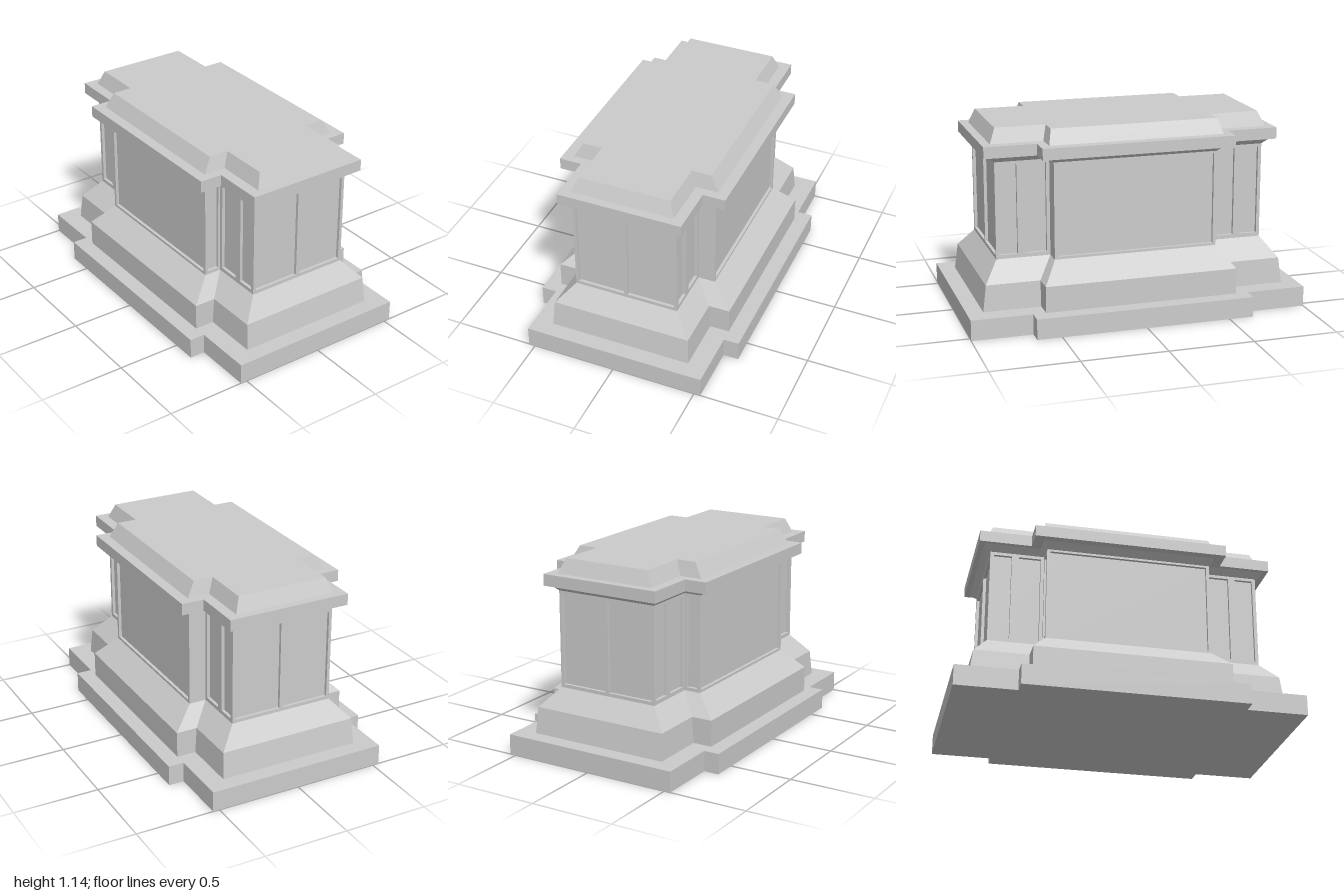
import * as THREE from 'three';

const material = new THREE.MeshStandardMaterial({ color: 0xcccccc, flatShading: true });

// Cross-shaped plan: side half-width sx, its half-length sz, end half-width ex, end reach ez
function outline([sx, sz, ex, ez]) {
  return [
    [-ex, ez], [ex, ez], [ex, sz], [sx, sz], [sx, -sz], [ex, -sz],
    [ex, -ez], [-ex, -ez], [-ex, -sz], [-sx, -sz], [-sx, sz], [-ex, sz],
  ];
}

// Closed solid through cross-shaped sections, each [y, plan]
function loft(name, levels) {
  const rings = levels.map(([y, plan]) => outline(plan).map(([x, z]) => [x, y, z]));
  const pos = [];
  const quad = (a, b, c, d) => pos.push(...a, ...b, ...c, ...a, ...c, ...d);
  for (let k = 0; k < rings.length - 1; k++) {
    const lo = rings[k], hi = rings[k + 1];
    for (let i = 0; i < 12; i++) {
      const j = (i + 1) % 12;
      quad(lo[i], lo[j], hi[j], hi[i]);
    }
  }
  const bottom = rings[0], top = rings[rings.length - 1];
  for (const [a, b, c, d] of [[0, 1, 6, 7], [2, 3, 4, 5], [8, 9, 10, 11]]) {
    quad(top[a], top[b], top[c], top[d]);
    quad(bottom[d], bottom[c], bottom[b], bottom[a]);
  }
  const geo = new THREE.BufferGeometry();
  geo.setAttribute('position', new THREE.Float32BufferAttribute(pos, 3));
  geo.computeVertexNormals();
  const mesh = new THREE.Mesh(geo, material);
  mesh.name = name;
  return mesh;
}

function rect(path, x0, x1, y0, y1) {
  path.moveTo(x0, y0);
  path.lineTo(x1, y0);
  path.lineTo(x1, y1);
  path.lineTo(x0, y1);
  path.closePath();
  return path;
}

// Wall slab from plan point a to b, with panel openings [start, end, bottom, top]
function wallFrame(name, a, b, y0, y1, depth, panels) {
  const u = new THREE.Vector3(b[0] - a[0], 0, b[1] - a[1]);
  const length = u.length();
  u.normalize();
  const up = new THREE.Vector3(0, 1, 0);
  const out = new THREE.Vector3().crossVectors(u, up);
  const shape = rect(new THREE.Shape(), 0, length, y0, y1);
  for (const p of panels) shape.holes.push(rect(new THREE.Path(), ...p));
  const geo = new THREE.ExtrudeGeometry(shape, { depth, bevelEnabled: false });
  geo.translate(0, 0, -depth);
  geo.applyMatrix4(new THREE.Matrix4().makeBasis(u, up, out).setPosition(a[0], 0, a[1]));
  const mesh = new THREE.Mesh(geo, material);
  mesh.name = name;
  return mesh;
}

// Panelled middle block: a recessed core wrapped in wall frames
function createDie(plan, y0, y1) {
  const die = new THREE.Group();
  die.name = 'panelledBody';
  const depth = 0.018;
  const core = plan.map((v) => v - depth);
  die.add(loft('recessedPanels', [[y0, core], [y1, core]]));

  const [sx, sz, ex, ez] = plan;
  const flank = ez - sz;
  const end = [[0.008, 0.3, 0.407, 0.932], [2 * ex - 0.3, 2 * ex - 0.008, 0.407, 0.932]];
  const side = [[0.018, 2 * sz - 0.018, 0.402, 0.94]];
  const flankOut = [[0.02, 0.126, 0.41, 0.935], [0.168, 0.296, 0.41, 0.935]];
  const flankIn = flankOut.map(([a, b, c, d]) => [flank - b, flank - a, c, d]);
  const w = sx - ex;
  const shoulder = [[0.013, w - 0.013, 0.407, 0.932]];

  const walls = [
    ['frontFrame', end], ['flankFrame', flankOut], ['plainShoulder', []],
    ['sideFrame', side], ['plainShoulder', []], ['flankFrame', flankIn],
    ['backFrame', end], ['flankFrame', flankOut], ['shoulderFrame', shoulder],
    ['sideFrame', side], ['shoulderFrame', shoulder], ['flankFrame', flankIn],
  ];
  const pts = outline(plan);
  walls.forEach(([name, panels], i) => {
    die.add(wallFrame(name, pts[i], pts[(i + 1) % 12], y0, y1, depth, panels));
  });
  return die;
}

export function createModel() {
  const model = new THREE.Group();
  model.name = 'pedestal';
  const body = [0.413, 0.484, 0.312, 0.80];

  // Stepped foot
  const foot = [0.628, 0.645, 0.538, 1.0];
  model.add(loft('baseSlab', [[0, foot], [0.12, foot]]));
  model.add(loft('slopedPlinth', [
    [0.12, [0.538, 0.57, 0.424, 0.905]],
    [0.273, [0.538, 0.57, 0.414, 0.885]],
    [0.387, body],
  ]));

  // Body with recessed panels
  model.add(createDie(body, 0.387, 0.953));

  // Cornice and bevelled cap
  const slab = [0.497, 0.567, 0.366, 0.87];
  model.add(loft('corniceFlare', [[0.953, body], [0.988, [0.45, 0.51, 0.342, 0.84]]]));
  model.add(loft('corniceSlab', [[0.988, slab], [1.055, slab]]));
  model.add(loft('bevelledCap', [
    [1.055, [0.435, 0.514, 0.304, 0.82]],
    [1.14, [0.386, 0.492, 0.27, 0.785]],
  ]));
  return model;
}
